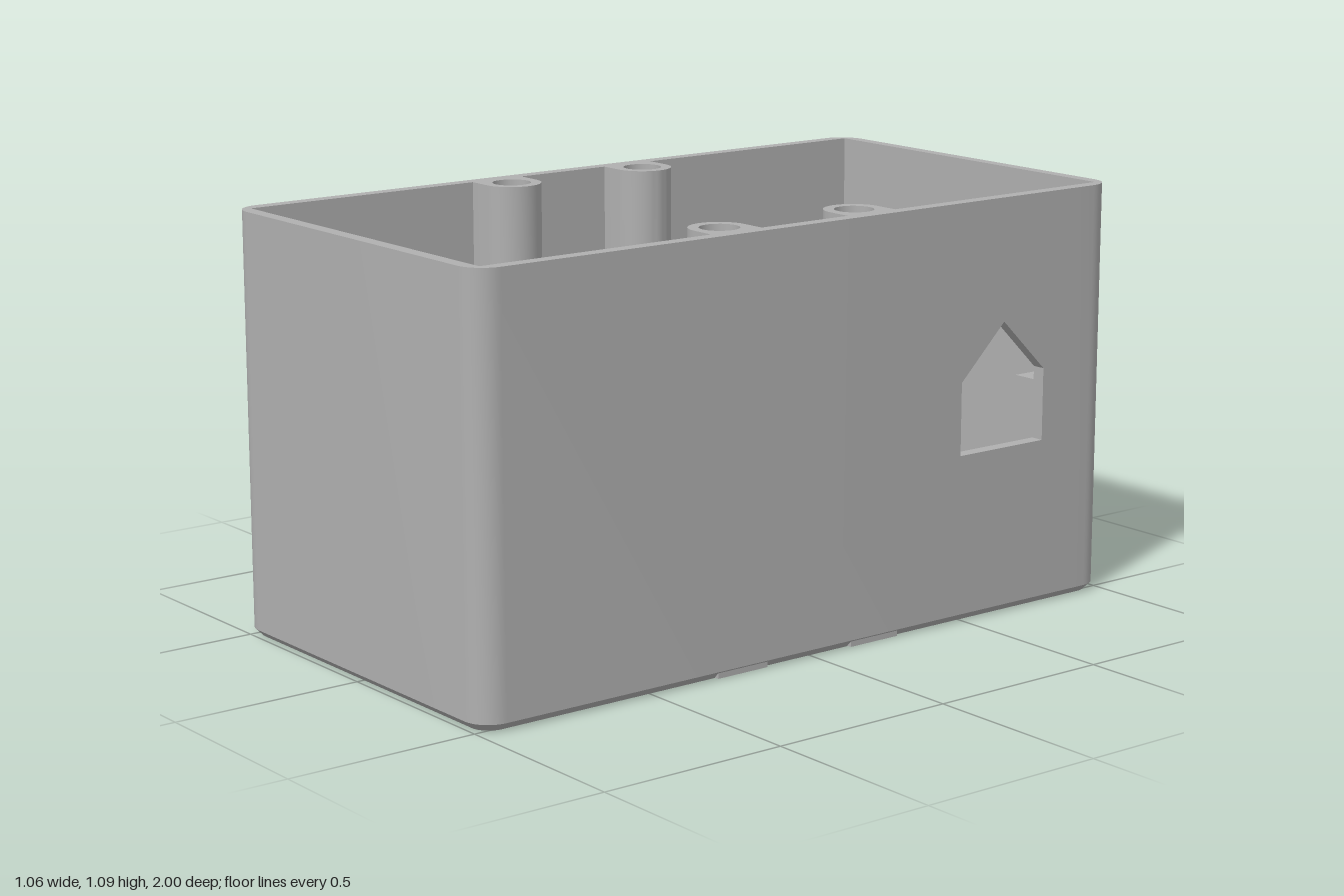
import * as THREE from 'three';
import { toCreasedNormals } from 'three/addons/utils/BufferGeometryUtils.js';

const W = 0.53, D = 1, H = 1.09, R = 0.07;          // outer half width, half depth, height, corner radius
const IX = 0.495, IB = -0.968, IF = 0.965;          // inner wall faces
const FLOOR = 0.04, CH = 0.02;                      // floor thickness, bottom chamfer

export function createModel() {
  const group = new THREE.Group();
  const grey = new THREE.MeshStandardMaterial({ color: 0xb0b0b0 });
  grey.name = 'grey plastic';

  const add = (name, geo) => {
    const mesh = new THREE.Mesh(toCreasedNormals(geo, 0.5), grey);
    mesh.name = name;
    group.add(mesh);
  };
  const vec = pts => pts.map(([x, y]) => new THREE.Vector2(x, y));
  const arc = (cx, cz, r, a0, a1, n) => Array.from({ length: n + 1 }, (_, i) => {
    const a = THREE.MathUtils.degToRad(a0 + (a1 - a0) * i / n);
    return [cx + r * Math.cos(a), cz + r * Math.sin(a)];
  });
  // Upright prism from a plan outline in (x, z)
  const prism = (name, pts, y0, y1, holes = []) => {
    const shape = new THREE.Shape(vec(pts));
    holes.forEach(h => shape.holes.push(new THREE.Path(vec(h))));
    const geo = new THREE.ExtrudeGeometry(shape, { depth: y1 - y0, bevelEnabled: false });
    add(name, geo.rotateX(Math.PI / 2).translate(0, y1, 0));
  };
  const rect = (x0, x1, z0, z1) => [[x0, z0], [x1, z0], [x1, z1], [x0, z1]];
  const roundRect = (w, d, r) => [
    ...arc(w - r, d - r, r, 0, 90, 10), ...arc(r - w, d - r, r, 90, 180, 10),
    ...arc(r - w, r - d, r, 180, 270, 10), ...arc(w - r, r - d, r, 270, 360, 10)];
  const outer = roundRect(W, D, R);
  const inset = roundRect(W - CH, D - CH, R - CH);

  // Walls, open where the side panel fits
  const P0 = -0.86, P1 = -0.4;
  prism('walls', [[W, P1], ...outer, [W, P0], [IX, P0], [IX, IB], [-IX, IB],
    [-IX, IF], [IX, IF], [IX, P1]], CH, H);

  // Side panel with the pointed opening
  const panel = new THREE.Shape(vec([[-P1, CH], [-P0, CH], [-P0, H], [-P1, H]]));
  panel.holes.push(new THREE.Path(vec(
    [[0.48, 0.44], [0.765, 0.44], [0.765, 0.63], [0.6225, 0.77], [0.48, 0.63]])));
  add('sidePanel', new THREE.ExtrudeGeometry(panel, { depth: W - IX, bevelEnabled: false })
    .rotateY(Math.PI / 2).translate(IX, 0, 0));

  // Floor with two windows
  prism('floor', inset, 0, FLOOR,
    [rect(-0.285, 0.28, -0.175, 0.13), rect(-0.38, 0.34, 0.515, 0.86)]);

  // Chamfer skin between floor and walls
  const pos = [];
  outer.forEach((o, i) => {
    const j = (i + 1) % outer.length;
    const a = [inset[i][0], 0, inset[i][1]], b = [inset[j][0], 0, inset[j][1]];
    const c = [outer[j][0], CH, outer[j][1]], d = [o[0], CH, o[1]];
    pos.push(...a, ...d, ...c, ...a, ...c, ...b);
  });
  const skin = new THREE.BufferGeometry();
  skin.setAttribute('position', new THREE.Float32BufferAttribute(pos, 3));
  add('bottomChamfer', skin);

  const base = FLOOR - 0.01;
  const mirror = (pts, s) => pts.map(([x, z]) => [x * s, z]);
  for (const s of [1, -1]) {
    // Full-height screw posts joined to the side walls
    for (const z of [-0.2, 0.225]) {
      prism('screwPost', mirror([[IX, z - 0.077], ...arc(0.43, z, 0.077, 270, 90, 24), [IX, z + 0.077]], s),
        base, H, [mirror(arc(0.43, z, 0.05, 0, 345, 23), s)]);
      prism('postFoot', mirror(rect(0.45, W - 0.004, z - 0.077, z + 0.077), s), 0.002, CH);
    }

    // Short front bosses, the foremost set into the corners
    const hole = z => [mirror(arc(0.44, z, 0.027, 0, 345, 23), s)];
    prism('sideBoss', mirror([[IX, 0.4], ...arc(0.44, 0.455, 0.057, 270, 90, 20), [IX, 0.512]], s),
      base, 0.16, hole(0.455));
    prism('cornerBoss', mirror([[IX, 0.847], ...arc(0.44, 0.904, 0.057, 270, 180, 12),
      [0.383, IF], [IX, IF]], s), base, 0.16, hole(0.904));

    // Small free-standing bosses
    for (const z of [-0.265, 0.29])
      prism('smallBoss', arc(0.275 * s, z, 0.041, 0, 345, 23), base, 0.12,
        [arc(0.275 * s, z, 0.021, 0, 345, 23)]);

    // Board supports with taller L-shaped guides, mirrored front to back
    for (const t of [1, -1]) {
      const place = pts => pts.map(([x, z]) => [x * s, -0.627 + t * z]);
      prism('boardSupport', place(rect(0.38, IX, 0.185, 0.305)), base, 0.58);
      prism('boardGuide', place([[0.445, 0.341], [0.33, 0.341], [0.33, 0.316],
        [0.415, 0.316], [0.415, 0.228], [0.445, 0.228]]), base, 0.625);
    }

    // Low bracket holding a component on the floor
    prism('floorBracket', mirror([[0.3, -0.825], [0.188, -0.825], [0.188, -0.8], [0.275, -0.8],
      [0.275, -0.4], [0.188, -0.4], [0.188, -0.375], [0.3, -0.375]], s), base, 0.15);
  }
  return group;
}
